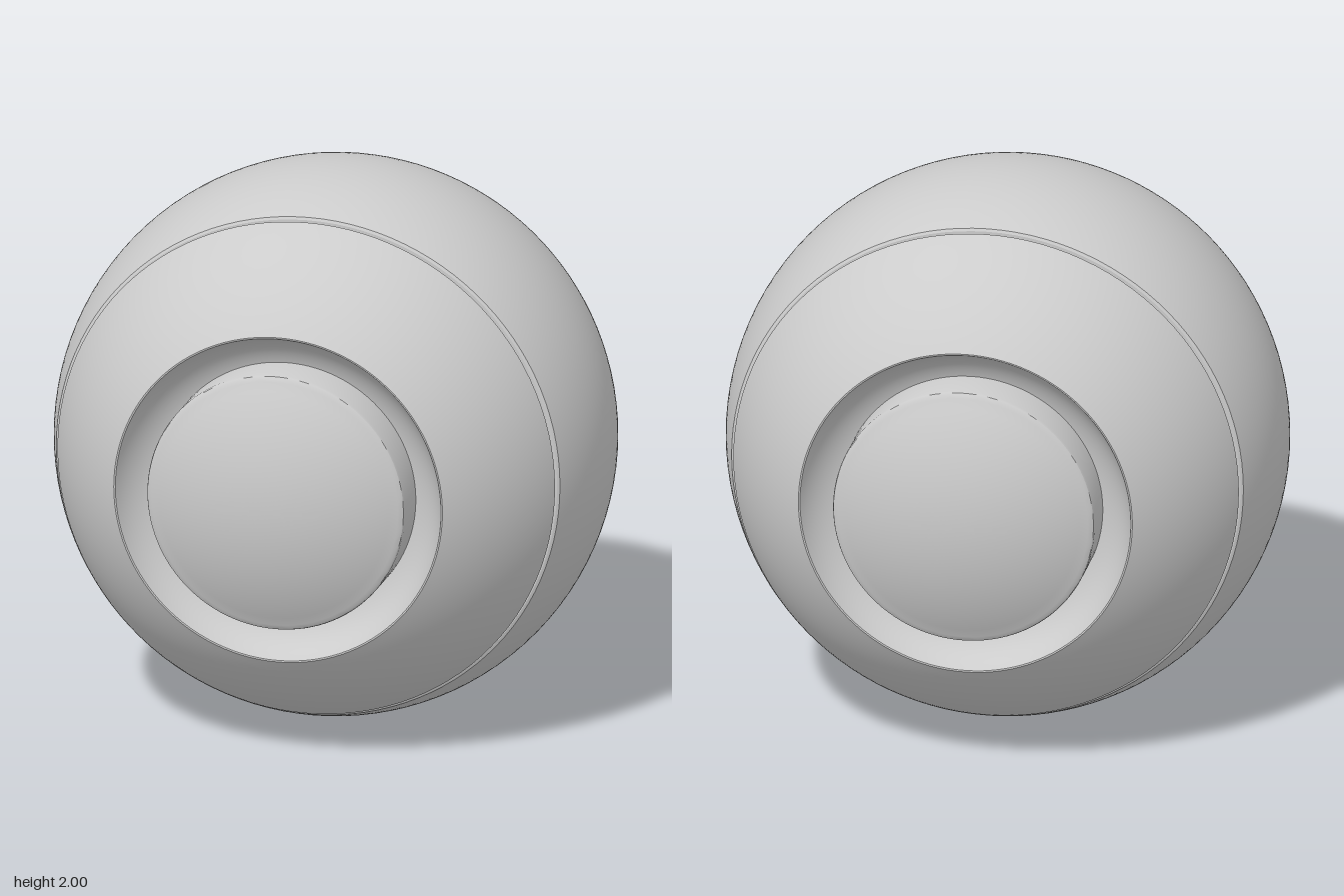
import * as THREE from 'three';
import { toCreasedNormals } from 'three/addons/utils/BufferGeometryUtils.js';

const material = new THREE.MeshStandardMaterial({ color: 0xcccccc });
const SEGMENTS = 112;

// Points [radius, z] on a sphere of radius R about the origin, from z0 to z1
function sphereArc(R, z0, z1, steps) {
  const a0 = Math.asin(z0 / R), a1 = Math.asin(z1 / R);
  return Array.from({ length: steps + 1 }, (_, i) => {
    const a = a0 + (a1 - a0) * i / steps;
    return [Math.max(0, R * Math.cos(a)), R * Math.sin(a)];
  });
}

// Turn a [radius, z] profile around the z axis
function turned(name, profile) {
  const points = profile.map(([r, z]) => new THREE.Vector2(r, z));
  const lathe = new THREE.LatheGeometry(points, SEGMENTS).rotateX(Math.PI / 2);
  const mesh = new THREE.Mesh(toCreasedNormals(lathe, 0.45), material);
  mesh.name = name;
  return mesh;
}

function createSide(name) {
  const side = new THREE.Group();
  side.name = name;

  // Concave recess running from the lip down to a flat floor
  const recess = new THREE.QuadraticBezierCurve(
    new THREE.Vector2(0.597, 0.797), new THREE.Vector2(0.55, 0.68), new THREE.Vector2(0.42, 0.66)
  ).getPoints(12).map(p => [p.x, p.y]);

  side.add(turned('sideShell', [
    [0.86, 0.391], [0.896, 0.395], [0.905, 0.4],
    ...sphereArc(1, 0.41, 0.798, 16),
    ...recess, [0.3, 0.66]
  ]));

  // Domed button with a bevelled rim
  side.add(turned('domedCap', [
    [0.472, 0.64], [0.472, 0.825], [0.469, 0.834], [0.462, 0.84],
    ...sphereArc(0.957, 0.844, 0.957, 14)
  ]));
  return side;
}

export function createModel() {
  const model = new THREE.Group();
  model.name = 'segmentedBall';
  const ball = new THREE.Group();
  ball.name = 'ball';
  ball.position.y = 1;
  model.add(ball);

  // Middle band, its edges turned in to form the grooves
  ball.add(turned('centreBand', [
    [0.86, -0.39], [0.914, -0.389],
    ...sphereArc(1, -0.384, 0.384, 28),
    [0.914, 0.389], [0.86, 0.39]
  ]));

  const front = createSide('frontSide');
  const back = createSide('backSide');
  back.rotation.y = Math.PI;
  ball.add(front, back);
  return model;
}
